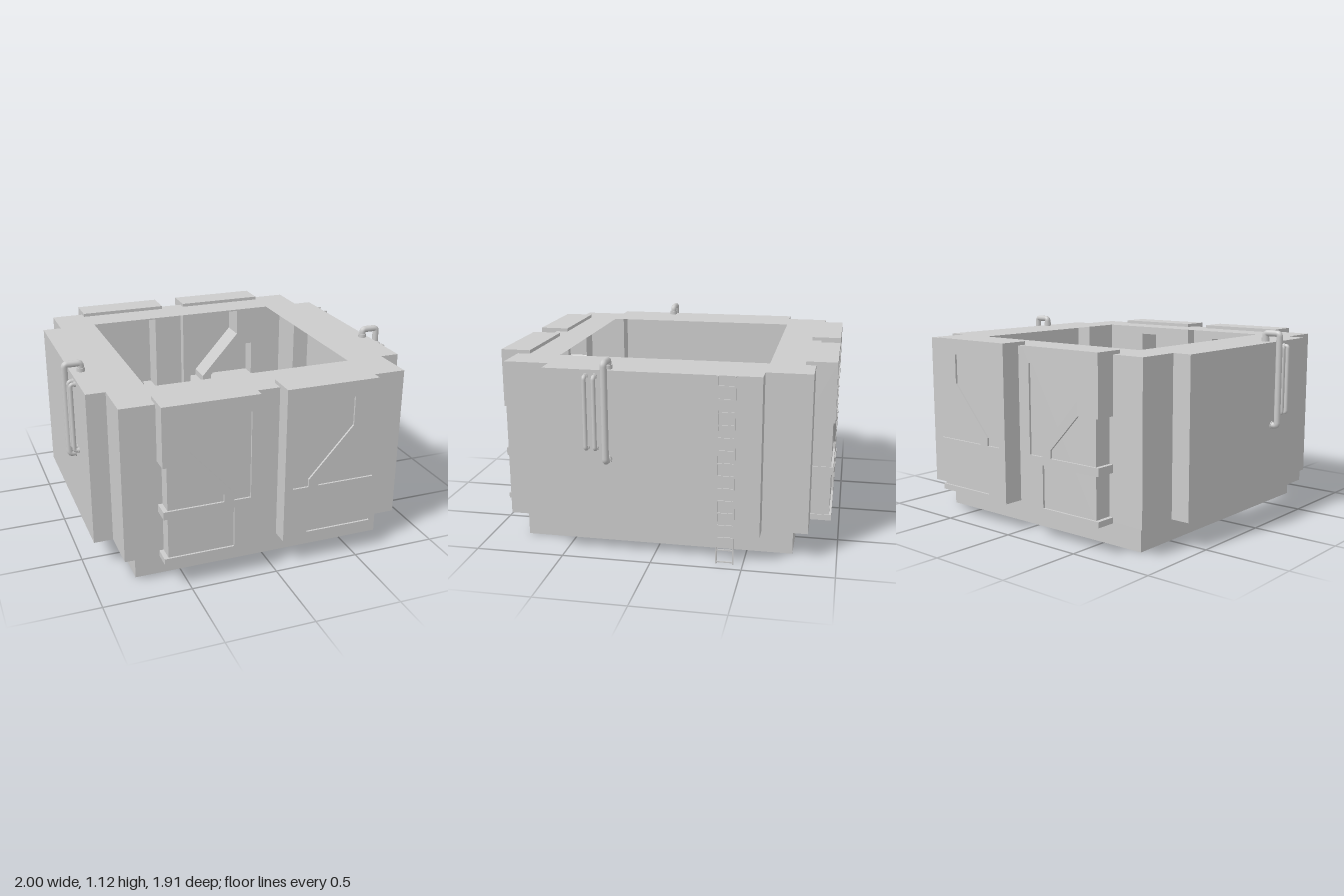
import * as THREE from 'three';

const grey = new THREE.MeshStandardMaterial({ color: 0xcccccc });
const sheetGrey = new THREE.MeshStandardMaterial({ color: 0xcccccc, side: THREE.DoubleSide });

function add(parent, name, geometry, material = grey) {
  const mesh = new THREE.Mesh(geometry, material);
  mesh.name = name;
  parent.add(mesh);
  return mesh;
}

const points = (list) => list.map(([x, y]) => new THREE.Vector2(x, y));
const rect = (x0, y0, x1, y1) => [[x0, y0], [x1, y0], [x1, y1], [x0, y1]];

function makeShape(outline, holes = []) {
  const shape = new THREE.Shape(points(outline));
  holes.forEach((h) => shape.holes.push(new THREE.Path(points(h))));
  return shape;
}

// Flat horizontal sheet; shape y becomes z
function slab(parent, name, y, outline, hole) {
  const geo = new THREE.ShapeGeometry(makeShape(outline, [hole]));
  add(parent, name, geo.rotateX(Math.PI / 2).translate(0, y, 0), sheetGrey);
}

// Thin upright walls along a closed footprint; openings(z) may cut holes
function walls(parent, name, footprint, y0, y1, openings = () => []) {
  footprint.forEach(([ax, az], i) => {
    const [bx, bz] = footprint[(i + 1) % footprint.length];
    if (az === bz) {
      const shape = makeShape(rect(Math.min(ax, bx), y0, Math.max(ax, bx), y1), openings(az));
      add(parent, name, new THREE.ShapeGeometry(shape).translate(0, 0, az), sheetGrey);
    } else {
      const geo = new THREE.PlaneGeometry(Math.abs(bz - az), y1 - y0).rotateY(Math.PI / 2);
      add(parent, name, geo.translate(ax, (y0 + y1) / 2, (az + bz) / 2), sheetGrey);
    }
  });
}

// Tube along straight runs with rounded corners
function pipe(parent, name, path, radius, bend, segments) {
  const p = path.map(([x, y]) => new THREE.Vector3(x, y, 0));
  const curve = new THREE.CurvePath();
  let start = p[0];
  for (let i = 1; i < p.length - 1; i++) {
    const before = p[i].clone().add(p[i - 1].clone().sub(p[i]).setLength(bend));
    const after = p[i].clone().add(p[i + 1].clone().sub(p[i]).setLength(bend));
    curve.add(new THREE.LineCurve3(start, before));
    curve.add(new THREE.QuadraticBezierCurve3(before, p[i], after));
    start = after;
  }
  curve.add(new THREE.LineCurve3(start, p[p.length - 1]));
  return add(parent, name, new THREE.TubeGeometry(curve, segments, radius, 10), sheetGrey);
}

function collar(parent, x, y, z, radius, length, sideways) {
  const geo = new THREE.CylinderGeometry(radius, radius, length, 12);
  if (sideways) geo.rotateZ(Math.PI / 2);
  add(parent, 'pipeCollar', geo).position.set(x, y, z);
}

// Deep panel frame, drawn for the -x panel and mirrored for the other
const FRAME = [[-0.64, 1.07], [-0.64, 0.73], [-0.5, 0.73], [-0.3, 0.52], [-0.3, 0.475], [-0.64, 0.475],
  [-0.64, 0.43], [-0.24, 0.43], [-0.24, 0.19], [-0.64, 0.19], [-0.64, 0.157], [-0.095, 0.157], [-0.095, 1.07]];
const WINDOW = [[-0.5, 0.98], [-0.145, 0.98], [-0.145, 0.475], [-0.24, 0.475], [-0.24, 0.52], [-0.5, 0.81]];

function panelPair(side, wallZ) {
  const group = new THREE.Group();
  group.name = side > 0 ? 'frontPanels' : 'backPanels';
  for (const right of [false, true]) {
    const flip = (list) => list.map(([x, y]) => [right ? -0.04 - x : x, y]);
    const frame = new THREE.ExtrudeGeometry(makeShape(flip(FRAME), [flip(WINDOW)]),
      { depth: 0.172, bevelEnabled: false });
    add(group, 'panelFrame', frame.translate(0, 0, side > 0 ? 0.785 : -0.957));

    // Recessed backing sheet and its outer return to the wall
    const [inner, outer] = right ? [0.075, 0.595] : [-0.115, -0.615];
    const z = side * 0.945;
    const back = makeShape(rect(Math.min(inner, outer), 0.165, Math.max(inner, outer), 1.05));
    add(group, 'panelRecess', new THREE.ShapeGeometry(back).translate(0, 0, z), sheetGrey);
    const returnSheet = new THREE.PlaneGeometry(Math.abs(z - wallZ), 0.885).rotateY(Math.PI / 2);
    add(group, 'panelReturn', returnSheet.translate(outer, 0.6075, (z + wallZ) / 2), sheetGrey);
  }
  return group;
}

function pipeSet() {
  const group = new THREE.Group();
  group.name = 'pipes';
  const main = pipe(group, 'mainPipe',
    [[0.887, 1.05], [0.887, 1.1], [0.98, 1.1], [0.98, 0.56], [0.93, 0.56]], 0.019, 0.018, 140);
  main.position.z = 0.243;
  collar(group, 0.887, 1.063, 0.243, 0.024, 0.022, false);
  collar(group, 0.94, 0.56, 0.243, 0.024, 0.02, true);
  for (const z of [0.303, 0.354]) {
    pipe(group, 'thinPipe', [[0.942, 1.02], [0.973, 1.02], [0.973, 0.623], [0.942, 0.623]],
      0.012, 0.014, 100).position.z = z;
    for (const y of [1.02, 0.623]) collar(group, 0.949, y, z, 0.015, 0.012, true);
  }
  return group;
}

function ladder() {
  const group = new THREE.Group();
  group.name = 'ladder';
  for (const z of [-0.355, -0.447]) {
    add(group, 'ladderRail', new THREE.BoxGeometry(0.008, 1.05, 0.008)).position.set(0.941, 0.525, z);
    add(group, 'ladderBracket', new THREE.BoxGeometry(0.02, 0.008, 0.008)).position.set(0.932, 1.046, z);
  }
  for (let i = 0; i < 15; i++) {
    add(group, 'ladderRung', new THREE.BoxGeometry(0.006, 0.007, 0.09)).position.set(0.941, 0.012 + i * 0.0703, -0.401);
  }
  return group;
}

export function createModel() {
  const model = new THREE.Group();
  model.name = 'openTowerSection';

  // Hollow cross-shaped body with an open top
  const zFront = 0.857, zBack = -0.84;
  const cross = [[-0.835, zFront], [0.815, zFront], [0.815, 0.603], [0.925, 0.603], [0.925, -0.587], [0.815, -0.587],
    [0.815, zBack], [-0.835, zBack], [-0.835, -0.587], [-0.945, -0.587], [-0.945, 0.603], [-0.835, 0.603]];
  const openings = (z) => (z === zFront || z === zBack
    ? [rect(-0.615, 0.165, -0.115, 1.04), rect(0.075, 0.165, 0.595, 1.04)] : []);
  walls(model, 'bodyWall', cross, 0.157, 1.05, openings);
  slab(model, 'topRim', 1.05, cross, rect(-0.615, -0.59, 0.595, 0.603));

  // Narrower open base and the ledge above it
  const base = rect(-0.76, -0.755, 0.74, 0.785);
  slab(model, 'underLedge', 0.157, cross, base);
  walls(model, 'baseWall', base, 0, 0.157);

  model.add(panelPair(1, zFront), panelPair(-1, zBack));

  // Pipes on both sides, ladder on the left side only
  const leftPipes = pipeSet();
  const rightPipes = pipeSet();
  rightPipes.scale.x = -1;
  model.add(leftPipes, rightPipes, ladder());
  return model;
}
